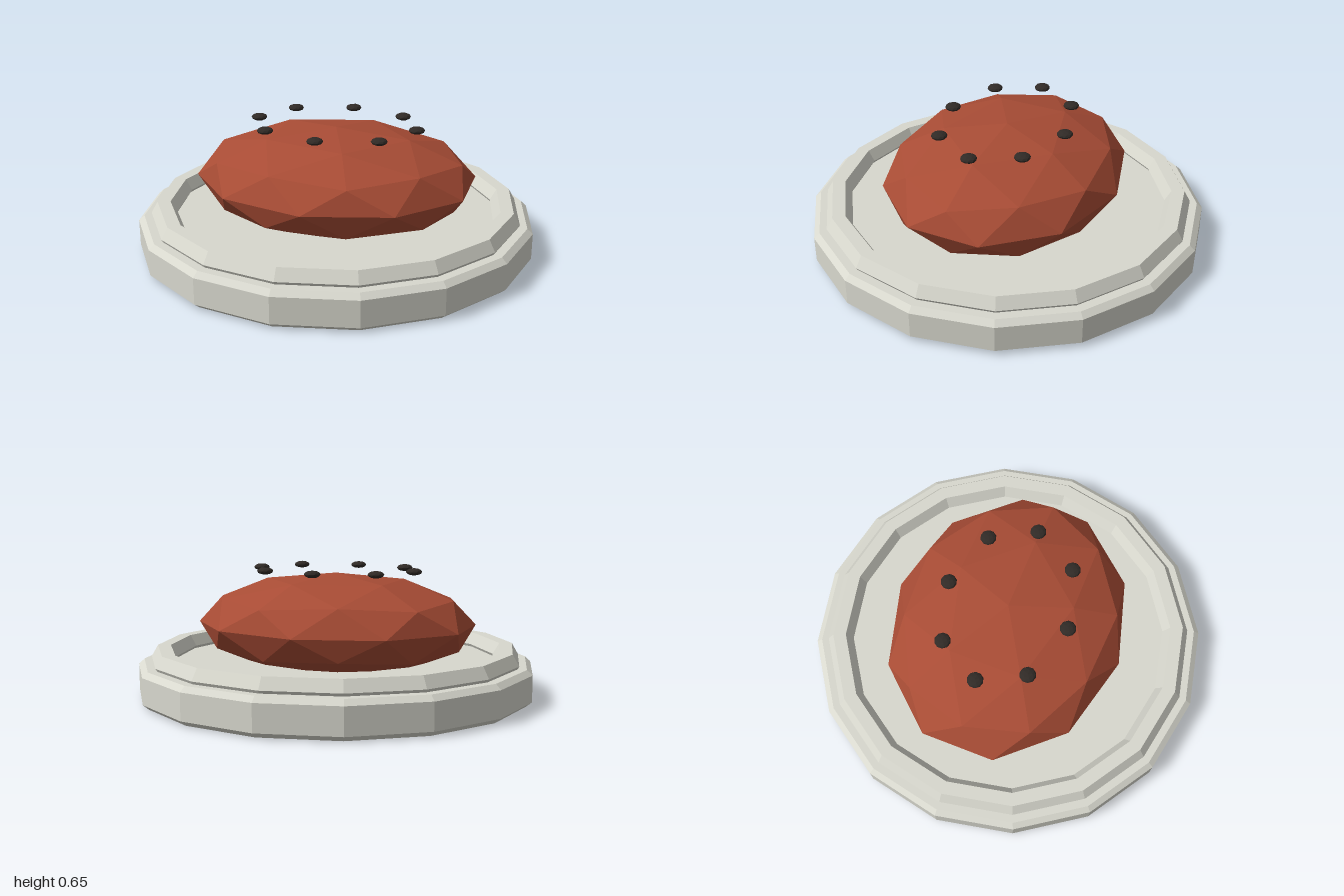
import * as THREE from 'three';

const material = (color) => new THREE.MeshStandardMaterial({ color, flatShading: true });

// Faceted ellipsoid: an icosahedron standing on a pole, subdivided once
function facetedBall(rx, ry, rz) {
  const ringY = 1 / Math.sqrt(5), ringR = 2 * ringY;
  const points = [0, 1, 0, 0, -1, 0], faces = [];
  for (let i = 0; i < 5; i++) {
    const a = (i * 2 * Math.PI) / 5, b = a + Math.PI / 5;
    points.push(ringR * Math.cos(a), ringY, -ringR * Math.sin(a));
    points.push(ringR * Math.cos(b), -ringY, -ringR * Math.sin(b));
  }
  for (let i = 0; i < 5; i++) {
    const up = 2 + 2 * i, low = up + 1;
    const nextUp = 2 + 2 * ((i + 1) % 5), nextLow = nextUp + 1;
    faces.push(0, up, nextUp, up, low, nextUp, low, nextLow, nextUp, 1, nextLow, low);
  }
  const geometry = new THREE.PolyhedronGeometry(points, faces, 1, 1);
  geometry.scale(rx, ry, rz);
  geometry.computeVertexNormals();
  return geometry;
}

export function createModel() {
  const group = new THREE.Group();
  const add = (name, geometry, mat, x = 0, y = 0, z = 0) => {
    const mesh = new THREE.Mesh(geometry, mat);
    mesh.name = name;
    mesh.position.set(x, y, z);
    group.add(mesh);
    return mesh;
  };
  const ceramic = material(0xd8d8ce);
  const red = material(0xa84c35);
  const dark = material(0x302a26);

  // Sixteen-sided plate with chamfered edges
  const profile = [[0, 0], [0.97, 0], [1, 0.025], [1, 0.155], [0.972, 0.18], [0, 0.18]]
    .map(([r, y]) => new THREE.Vector2(r, y));
  add('plate', new THREE.LatheGeometry(profile, 16), ceramic);

  // Raised hexagonal-section rim
  const rim = new THREE.TorusGeometry(0.87, 0.065, 6, 16);
  rim.rotateX(-Math.PI / 2);
  add('rim', rim, ceramic, 0, 0.194, 0);

  // Faceted mound of food
  add('mound', facetedBall(0.715, 0.255, 0.59), red, 0, 0.36, 0);

  // Ring of small garnish pieces above the mound
  const garnish = facetedBall(0.04, 0.018, 0.04);
  for (let i = 0; i < 8; i++) {
    const a = i * 0.78;
    add(`garnish${i + 1}`, garnish, dark, 0.41 * Math.cos(a), 0.632, -0.31 * Math.sin(a));
  }
  return group;
}
